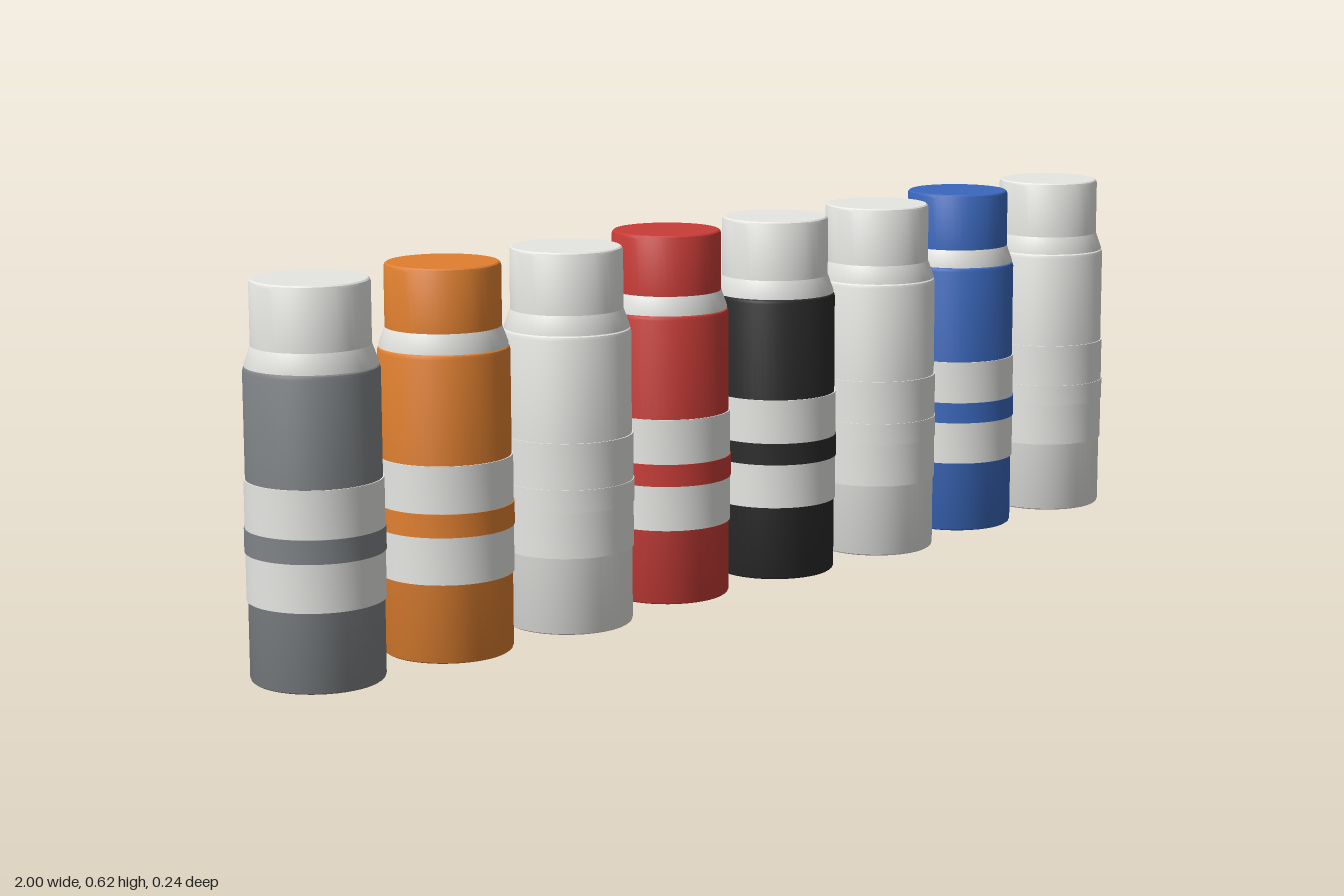
import * as THREE from 'three';
import { toCreasedNormals } from 'three/addons/utils/BufferGeometryUtils.js';

const SEGMENTS = 48;

// Revolves [radius, height] pairs, listed from bottom to top, keeping edges sharp.
function turned(points) {
  const profile = points.map(([r, y]) => new THREE.Vector2(r, y));
  return toCreasedNormals(new THREE.LatheGeometry(profile, SEGMENTS), 0.5);
}

// Raised ring around the body.
const ring = (r, y0, y1) => turned([[0.1, y0], [r, y0], [r, y1], [0.1, y1]]);

export function createModel() {
  const model = new THREE.Group();
  model.name = 'canisterRow';

  const material = (name, color) => {
    const m = new THREE.MeshStandardMaterial({ color });
    m.name = name;
    return m;
  };
  const white = material('white', 0xe6e6e3);
  const grey = material('grey', 0x808487);
  const orange = material('orange', 0xe08030);
  const red = material('red', 0xc83c37);
  const black = material('black', 0x2b2b2b);
  const blue = material('blue', 0x3a68bd);

  // Shared part geometries
  const body = turned([
    [0, 0], [0.099, 0], [0.102, 0.002], [0.1035, 0.006],
    [0.1035, 0.478], [0.102, 0.483], [0.099, 0.485], [0, 0.485],
  ]);
  const shoulder = turned([[0.101, 0.485], [0.101, 0.488], [0.091, 0.516]]);
  const cap = turned([
    [0.091, 0.516], [0.091, 0.61], [0.0895, 0.614], [0.087, 0.616], [0, 0.616],
  ]);
  const lowerBand = ring(0.1058, 0.126, 0.201);
  const middleBand = ring(0.1072, 0.201, 0.238);
  const upperBand = ring(0.1058, 0.238, 0.313);

  // Body and cap colour of each canister, from -x to +x
  const canisters = [
    [grey, white], [orange, orange], [white, white], [red, red],
    [black, white], [white, white], [blue, blue], [white, white],
  ];

  canisters.forEach(([bodyColor, capColor], i) => {
    const canister = new THREE.Group();
    canister.name = `canister${i + 1}`;
    const add = (name, geometry, mat) => {
      const mesh = new THREE.Mesh(geometry, mat);
      mesh.name = name;
      canister.add(mesh);
    };
    add('body', body, bodyColor);
    add('shoulder', shoulder, white);
    add('cap', cap, capColor);
    add('lowerBand', lowerBand, white);
    add('middleBand', middleBand, bodyColor);
    add('upperBand', upperBand, white);

    // Even spacing with a slight repeating stagger in depth
    canister.position.set((i - 3.5) * 0.255, 0, (i % 3 - 1) * 0.012);
    model.add(canister);
  });

  return model;
}
